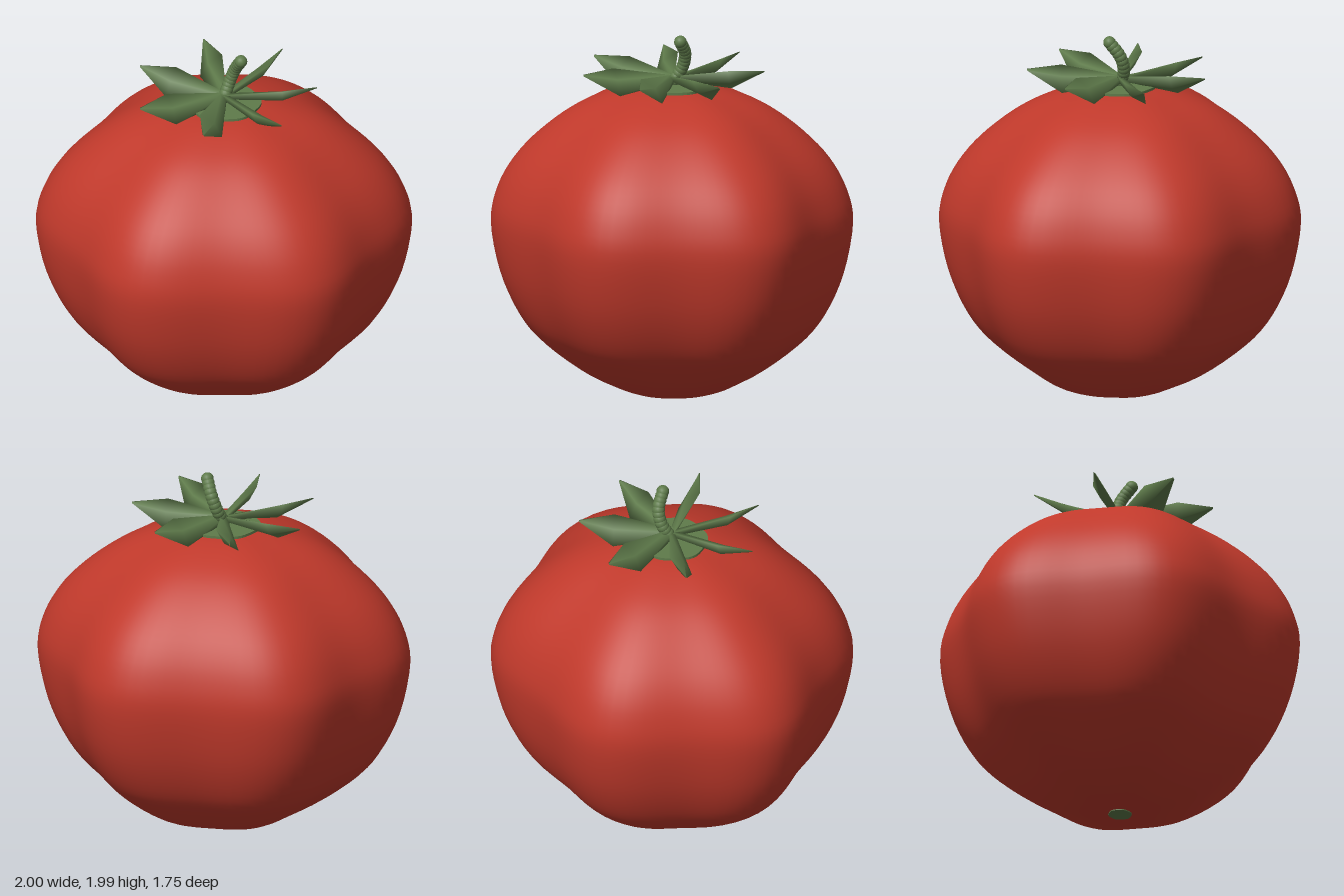
import * as THREE from 'three';
import { mergeVertices } from 'three/addons/utils/BufferGeometryUtils.js';

const red = new THREE.MeshStandardMaterial({ color: 0xc0392b });
red.name = 'ripe red';
const green = new THREE.MeshStandardMaterial({ color: 0x5f7b4b });
green.name = 'leaf green';

// Gives a round geometry six shallow lobes, one along +x, softer near the poles, and narrows it in z
function addLobes(geometry) {
  const p = geometry.attributes.position;
  for (let i = 0; i < p.count; i++) {
    const x = p.getX(i);
    const z = p.getZ(i);
    const depth = 0.047 * (0.4 + 0.6 * Math.hypot(x, z));
    const k = 1 - depth * (1 - Math.cos(6 * Math.atan2(z, x)));
    p.setX(i, x * k);
    p.setZ(i, z * k * 0.95);
  }
  geometry.computeVertexNormals();
  return geometry;
}

function makeBody() {
  const profile = [
    [0, 0.007], [0.06, 0.009], [0.13, 0.017], [0.26, 0.042], [0.47, 0.125], [0.71, 0.295], [0.845, 0.45],
    [0.95, 0.68], [1, 0.95], [0.965, 1.13], [0.875, 1.29], [0.74, 1.43], [0.57, 1.555],
    [0.4, 1.635], [0.2, 1.69], [0, 1.695],
  ].map(([r, y]) => new THREE.Vector2(r, y));
  const points = new THREE.SplineCurve(profile).getPoints(60);
  points.forEach((v) => { v.x = Math.max(v.x, 0); });
  const lathe = new THREE.LatheGeometry(points, 96);
  lathe.deleteAttribute('uv');
  lathe.deleteAttribute('normal');
  return new THREE.Mesh(addLobes(mergeVertices(lathe, 1e-5)), red);
}

// Thin lobed disc closing the top or the bottom of the fruit
function makeDisc(radius, height, y) {
  const geometry = addLobes(new THREE.CylinderGeometry(radius, radius, height, 48).toNonIndexed());
  const mesh = new THREE.Mesh(geometry, green);
  mesh.position.y = y;
  return mesh;
}

// Twisted leaf along +x: diamond cross-sections [x, y, half width in z, edge rise, half thickness]
function makeLeafGeometry() {
  const sections = [
    [0.0, 1.735, 0.015, 0.015, 0.012],
    [0.31, 1.738, 0.06, 0.062, 0.018],
    [0.495, 1.79, 0.003, 0.004, 0.002],
  ];
  const positions = [];
  const index = [];
  for (const [x, y, w, rise, t] of sections) {
    positions.push(x, y - rise, -w, x, y + t, -t, x, y + rise, w, x, y - t, t);
  }
  for (let s = 0; s < sections.length - 1; s++) {
    for (let j = 0; j < 4; j++) {
      const a = s * 4 + j;
      const b = s * 4 + ((j + 1) % 4);
      index.push(a, b, a + 4, b, b + 4, a + 4);
    }
  }
  const geometry = new THREE.BufferGeometry();
  geometry.setAttribute('position', new THREE.Float32BufferAttribute(positions, 3));
  geometry.setIndex(index);
  geometry.computeVertexNormals();
  return geometry;
}

// Curved stem made of a chain of overlapping beads
function makeStem() {
  const stem = new THREE.Group();
  const path = new THREE.CatmullRomCurve3([
    new THREE.Vector3(0, 1.72, -0.01),
    new THREE.Vector3(0.03, 1.8, -0.048),
    new THREE.Vector3(0.06, 1.88, -0.045),
    new THREE.Vector3(0.09, 1.955, 0.002),
  ]);
  const bead = new THREE.SphereGeometry(0.034, 16, 12);
  const count = 12;
  for (let i = 0; i < count; i++) {
    const mesh = new THREE.Mesh(bead, green);
    mesh.name = 'stemBead';
    mesh.position.copy(path.getPointAt(i / (count - 1)));
    stem.add(mesh);
  }
  return stem;
}

export function createModel() {
  const model = new THREE.Group();
  model.name = 'tomato';
  const add = (name, object) => {
    object.name = name;
    model.add(object);
  };

  add('body', makeBody());
  add('calyxDisc', makeDisc(0.2, 0.014, 1.697));
  add('blossomScar', makeDisc(0.065, 0.006, 0.007));

  // Ring of seven leaves
  const leaves = new THREE.Group();
  const leafGeometry = makeLeafGeometry();
  for (let i = 0; i < 7; i++) {
    const leaf = new THREE.Mesh(leafGeometry, green);
    leaf.name = 'leaf';
    leaf.rotation.y = (i / 7) * Math.PI * 2;
    leaves.add(leaf);
  }
  add('leaves', leaves);
  add('stem', makeStem());
  return model;
}
